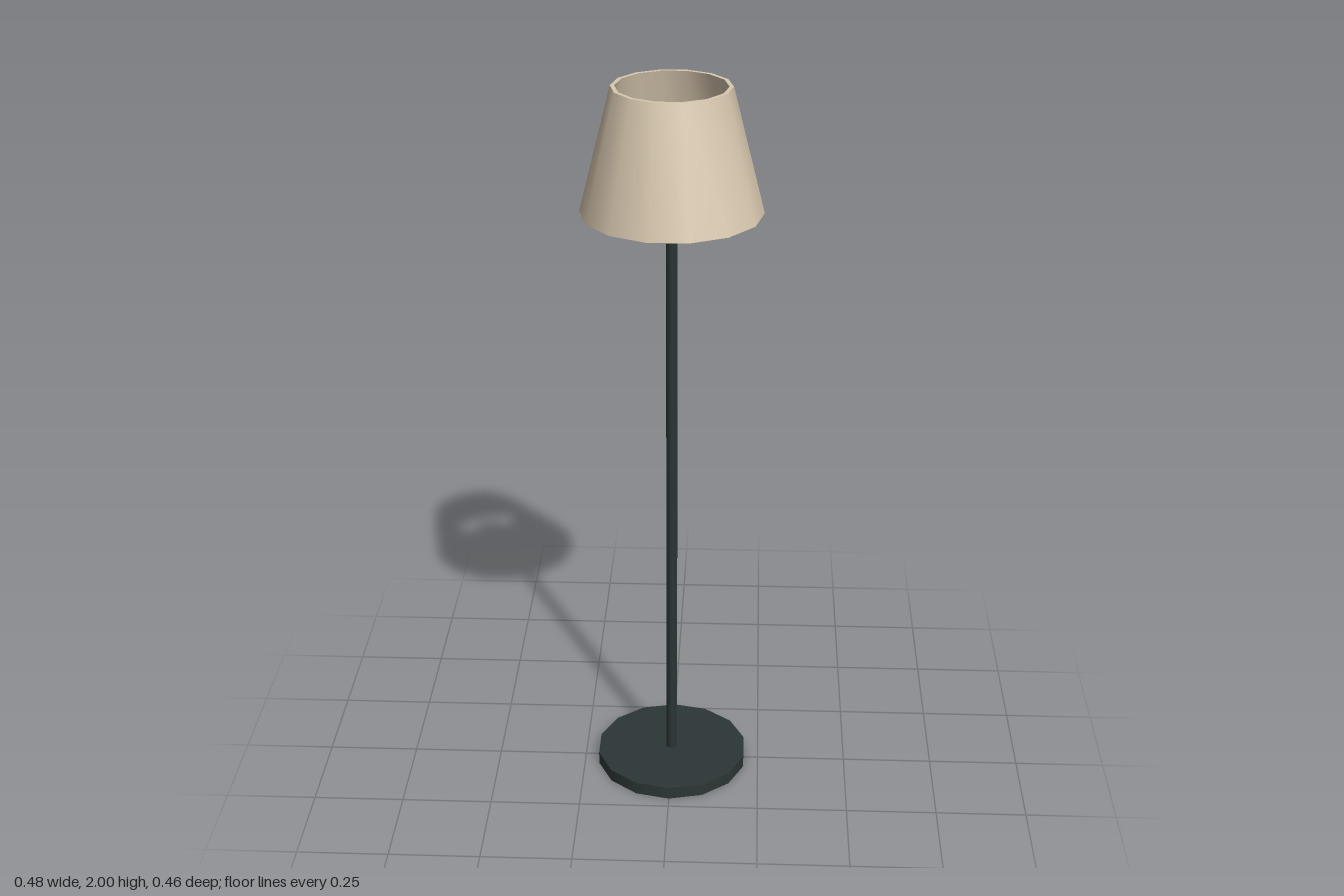
import * as THREE from 'three';
import { toCreasedNormals } from 'three/addons/utils/BufferGeometryUtils.js';

export function createModel() {
  const lamp = new THREE.Group();
  lamp.name = 'floorLamp';

  const material = (name, color) => {
    const m = new THREE.MeshStandardMaterial({ color });
    m.name = name;
    return m;
  };
  const metal = material('darkMetal', 0x2d3636);
  const fabric = material('beigeFabric', 0xd9c9b0);
  const glow = material('warmBulb', 0xe6d09a);

  const add = (name, geometry, mat, y = 0) => {
    const mesh = new THREE.Mesh(geometry, mat);
    mesh.name = name;
    mesh.position.y = y;
    lamp.add(mesh);
  };

  // Flat round foot
  const baseHeight = 0.036;
  add('base', new THREE.CylinderGeometry(0.214, 0.214, baseHeight, 14), metal, baseHeight / 2);

  // Slim pole from the foot to the bulb
  const poleTop = 1.74;
  add('pole', new THREE.CylinderGeometry(0.017, 0.017, poleTop - 0.03, 6), metal, (poleTop + 0.03) / 2);

  // Bulb inside the shade
  add('bulb', new THREE.SphereGeometry(0.067, 8, 6), glow, 1.79);

  // Open tapered shade: up the outside, over the rim, down the inside
  const profile = [
    [0.238, 1.67], [0.155, 2], [0.144, 2], [0.227, 1.67], [0.238, 1.67],
  ].map(([r, y]) => new THREE.Vector2(r, y));
  const shade = new THREE.LatheGeometry(profile, 14, Math.PI / 2);
  add('shade', toCreasedNormals(shade, 0.7), fabric);

  return lamp;
}
